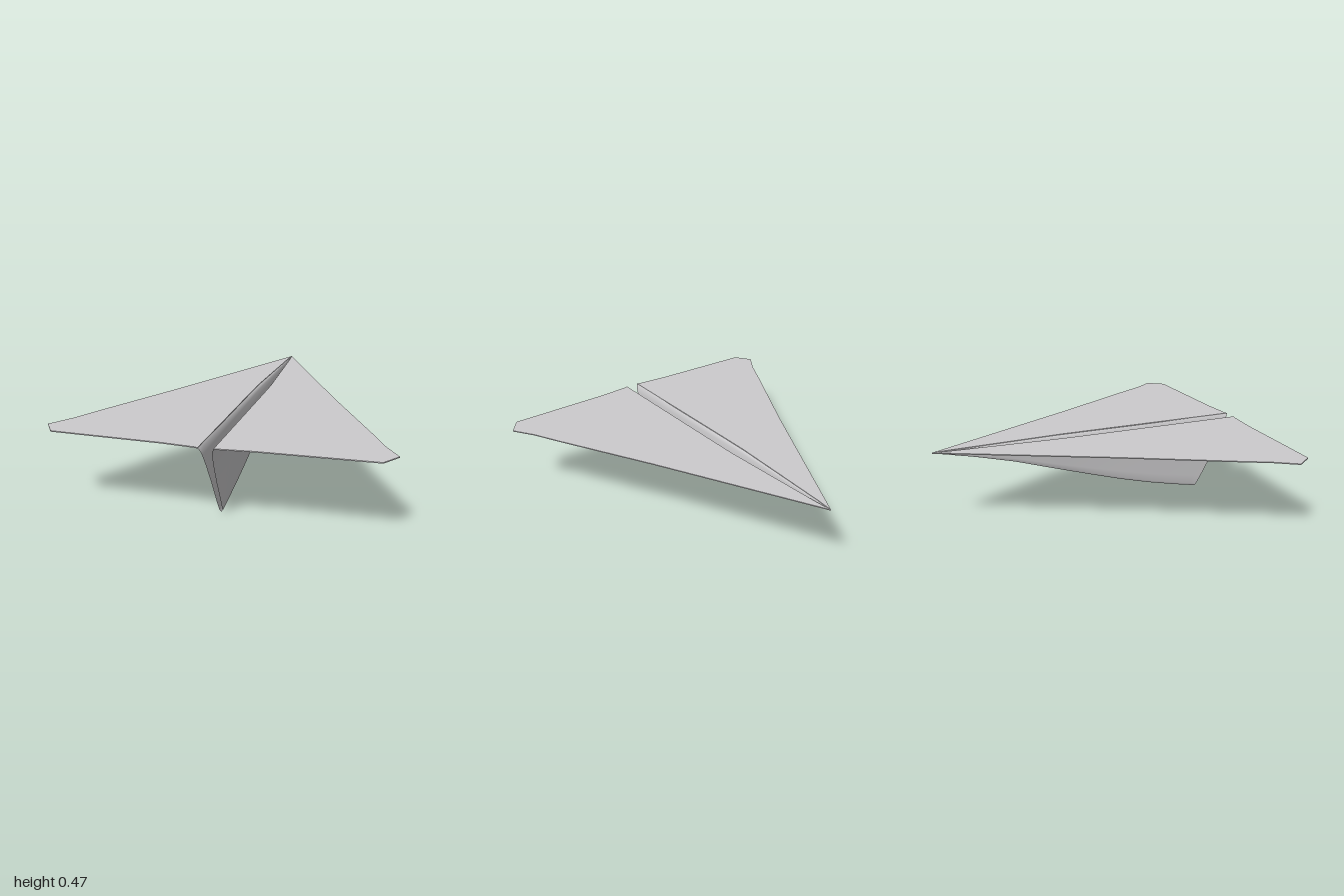
import * as THREE from 'three';

const TOP = 0.469, THICK = 0.006;

const paper = new THREE.MeshStandardMaterial({ color: 0xcccbcd, side: THREE.DoubleSide });
paper.name = 'paper';

// Piecewise linear lookup in a list of [key, value] pairs
function lookup(list, k) {
  for (let i = 1; i < list.length; i++) {
    const [a, va] = list[i - 1], [b, vb] = list[i];
    if (k <= b) return va + (vb - va) * Math.max(0, (k - a) / (b - a));
  }
  return list[list.length - 1][1];
}

// Lower edge of the keel: z, y
const keelLine = [[-1, 0.465], [-0.75, 0.41], [-0.5, 0.345], [-0.25, 0.265], [0, 0.188],
  [0.2, 0.128], [0.4, 0.075], [0.6, 0.03], [0.75, 0]];
// Half width of the fold against height, flaring out into the wing
const foldWidth = [[0, 0], [0.03, 0.008], [0.15, 0.012], [0.5, 0.015], [0.75, 0.021],
  [0.9, 0.027], [0.97, 0.034], [1, 0.044]];
// The fold narrows towards the nose
const taper = (s) => Math.min(1, 0.1 * Math.min(1, s * 20) + s * 2.2);

// Point on the keel side: s runs nose to tail, f runs bottom to top
function keelPoint(s, f, side, offset = 0) {
  const bottom = lookup(keelLine, -1 + 1.75 * s);
  return [
    side * (lookup(foldWidth, f) * taper(s) + offset),
    bottom + (TOP - THICK / 2 - bottom) * f,
    -1 + s * (1.75 + 0.25 * f),
  ];
}

// Smooth sheet from a grid of points
function sheet(name, columns, heights, point) {
  const pos = [], index = [], n = heights.length;
  for (let i = 0; i <= columns; i++) {
    for (const f of heights) pos.push(...point(i / columns, f));
  }
  for (let i = 0; i < columns; i++) {
    for (let j = 0; j < n - 1; j++) {
      const a = i * n + j, b = a + n;
      index.push(a, a + 1, b, b, a + 1, b + 1);
    }
  }
  const g = new THREE.BufferGeometry();
  g.setAttribute('position', new THREE.Float32BufferAttribute(pos, 3));
  // Wind the faces so that they look away from the centre line
  if (name.startsWith('right')) index.reverse();
  g.setIndex(index);
  g.computeVertexNormals();
  const mesh = new THREE.Mesh(g, paper);
  mesh.name = name;
  return mesh;
}

// Thin flat wing with a clipped tip
function wing(name, side) {
  const outline = [[0, -1], [0.2, -0.6], [0.49, -0.02], [0.8, 0.57], [0.88, 0.73],
    [0.965, 0.86], [0.895, 0.96], [0.25, 0.977], [0.06, 0.993]];
  // Inner edge follows the fold
  for (const s of [1, 0.75, 0.5, 0.4, 0.2, 0.05]) {
    outline.push([0.042 * taper(s), -1 + 2 * s]);
  }
  const shape = new THREE.Shape(outline.map(([x, z]) => new THREE.Vector2(side * x, z)));
  const g = new THREE.ExtrudeGeometry(shape, { depth: THICK, bevelEnabled: false });
  g.rotateX(Math.PI / 2);
  g.translate(0, TOP, 0);
  const mesh = new THREE.Mesh(g, paper);
  mesh.name = name;
  return mesh;
}

export function createModel() {
  const model = new THREE.Group();
  model.name = 'paperPlane';
  const heights = foldWidth.map(([f]) => f);

  for (const [label, side] of [['left', 1], ['right', -1]]) {
    model.add(wing(label + 'Wing', side));
    model.add(sheet(label + 'Keel', 32, heights, (s, f) => keelPoint(s, f, side)));
  }

  // Overlapping paper layer with a slanted rear edge
  model.add(sheet('leftKeelFlap', 24, [0.02, 0.15, 0.5, 0.75, 0.84], (t, f) =>
    keelPoint(0.1 + t * (0.9 - 0.168 * f / 0.84), f, 1, 0.002)));

  return model;
}
